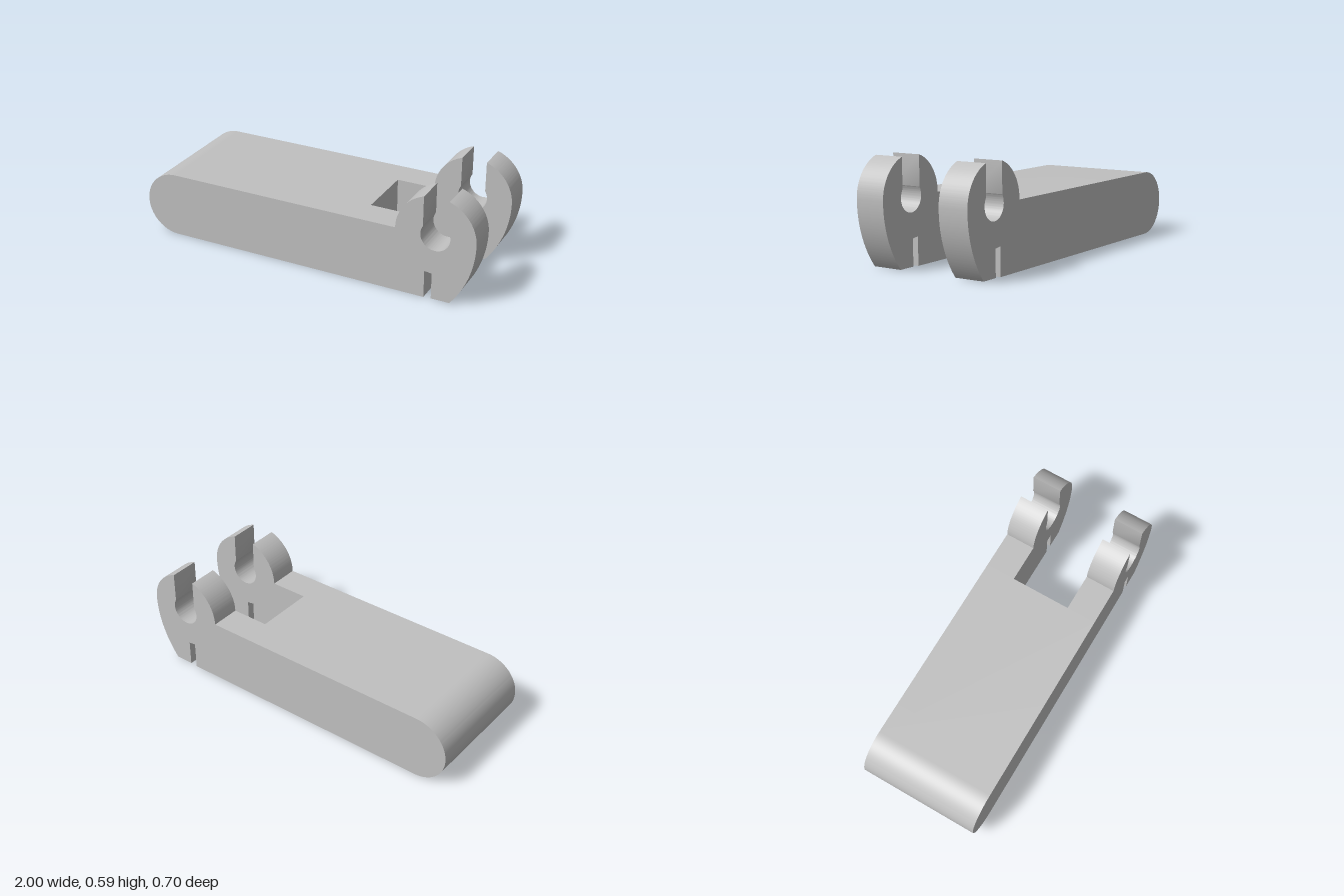
import * as THREE from 'three';
import { toCreasedNormals } from 'three/addons/utils/BufferGeometryUtils.js';

const HALF_WIDTH = 0.348;  // outer faces
const GAP = 0.175;         // half the gap between the arms
const TOP = 0.373;         // top of the body, also the clip centre height
const NOTCH_X = 0.329;     // where the arms leave the body

// Extrudes a side profile from z0 to z1 with smooth curves and sharp edges
function slab(shape, z0, z1, material, name) {
  const geometry = new THREE.ExtrudeGeometry(shape, {
    depth: z1 - z0, bevelEnabled: false, curveSegments: 32,
  });
  geometry.translate(0, 0, z0);
  const mesh = new THREE.Mesh(toCreasedNormals(geometry, 0.5), material);
  mesh.name = name;
  return mesh;
}

// Solid body with a half-round end
function bodyProfile() {
  const r = TOP / 2;
  const s = new THREE.Shape();
  s.moveTo(NOTCH_X, 0);
  s.lineTo(NOTCH_X, TOP);
  s.lineTo(-1 + r, TOP);
  s.absarc(-1 + r, r, r, Math.PI / 2, Math.PI * 1.5, false);
  s.closePath();
  return s;
}

// Arm ending in a round head with a keyhole clip and a relief slot below
function armProfile() {
  const cx = 0.775, headR = 0.225, holeR = 0.083, halfSlot = 0.07;
  const outer = Math.acos(halfSlot / headR);
  const inner = Math.acos(halfSlot / holeR);
  const noseR = 0.583;
  const s = new THREE.Shape();
  s.moveTo(NOTCH_X, 0);
  // relief slot
  s.lineTo(0.722, 0);
  s.lineTo(0.722, 0.158);
  s.lineTo(0.764, 0.152);
  s.lineTo(0.764, 0.003);
  // curved nose, then the head
  s.lineTo(0.865, 0.003);
  s.absarc(1 - noseR, TOP, noseR, -Math.asin((TOP - 0.003) / noseR), 0, false);
  s.absarc(cx, TOP, headR, 0, outer, false);
  // keyhole
  s.absarc(cx, TOP, holeR, inner, Math.PI - inner, true);
  s.absarc(cx, TOP, headR, Math.PI - outer, Math.PI, false);
  s.lineTo(NOTCH_X, TOP);
  s.closePath();
  return s;
}

export function createModel() {
  const grey = new THREE.MeshStandardMaterial({ color: 0xc0c0c0 });
  grey.name = 'grey';

  const model = new THREE.Group();
  model.name = 'clipLink';
  model.add(
    slab(bodyProfile(), -HALF_WIDTH, HALF_WIDTH, grey, 'body'),
    slab(armProfile(), GAP, HALF_WIDTH, grey, 'frontArm'),
    slab(armProfile(), -HALF_WIDTH, -GAP, grey, 'backArm'),
  );
  return model;
}
